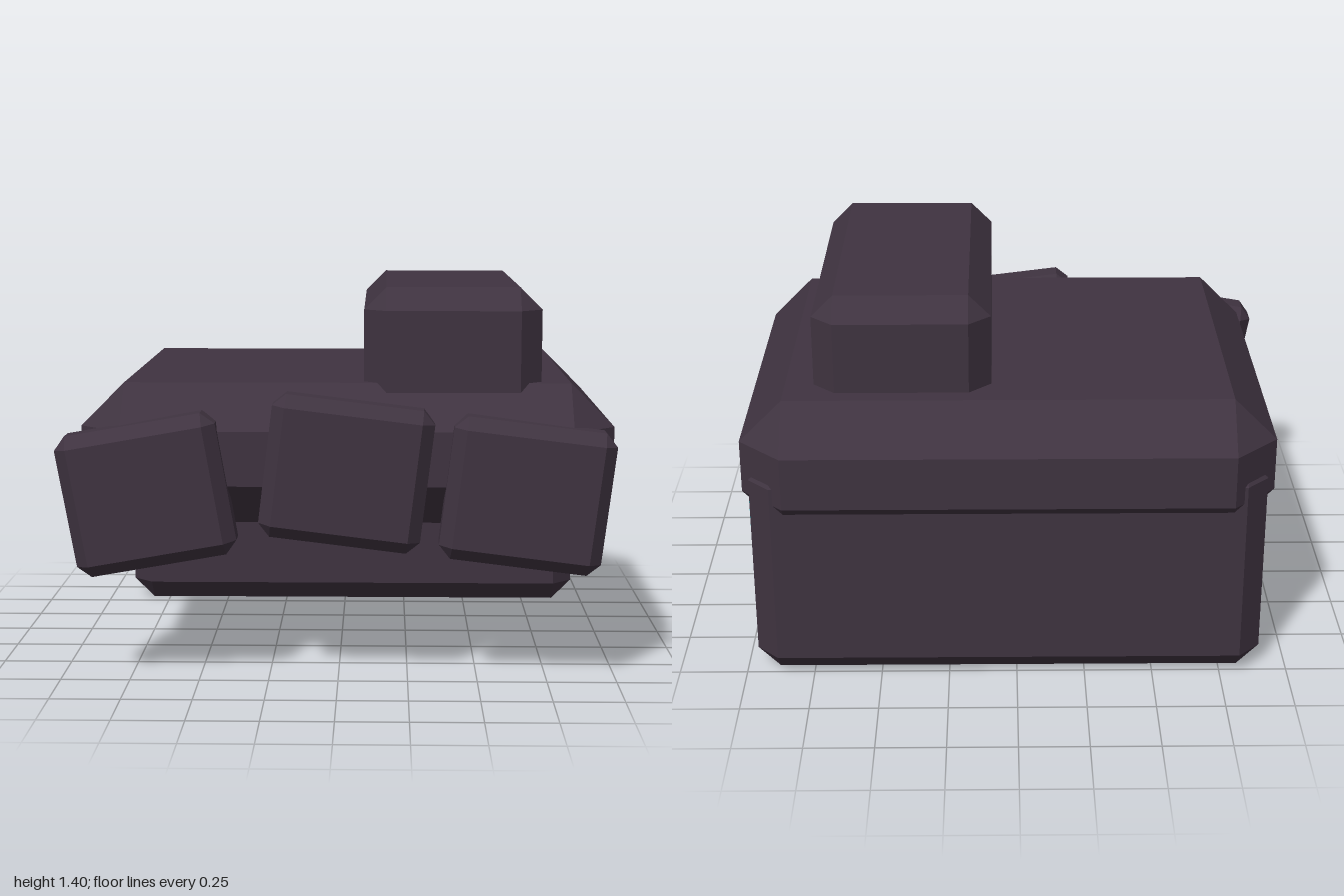
import * as THREE from 'three';
import { ConvexGeometry } from 'three/addons/geometries/ConvexGeometry.js';

const fabric = new THREE.MeshStandardMaterial({ color: 0x3f3340, flatShading: true });
const accent = new THREE.MeshStandardMaterial({ color: 0x39c2cb, flatShading: true });

// Box with every edge and corner cut by c
function chamferBox(w, h, d, c) {
  const points = [];
  for (const sx of [-1, 1]) for (const sy of [-1, 1]) for (const sz of [-1, 1]) {
    const x = w / 2, y = h / 2, z = d / 2;
    points.push(
      new THREE.Vector3(sx * x, sy * (y - c), sz * (z - c)),
      new THREE.Vector3(sx * (x - c), sy * y, sz * (z - c)),
      new THREE.Vector3(sx * (x - c), sy * (y - c), sz * z));
  }
  return new ConvexGeometry(points);
}

// Mesh spanning [min, max] on each axis; no chamfer gives a plain box
function block(name, [x0, x1], [y0, y1], [z0, z1], c, material = fabric) {
  const size = [x1 - x0, y1 - y0, z1 - z0];
  const geometry = c ? chamferBox(...size, c) : new THREE.BoxGeometry(...size);
  const mesh = new THREE.Mesh(geometry, material);
  mesh.name = name;
  mesh.position.set((x0 + x1) / 2, (y0 + y1) / 2, (z0 + z1) / 2);
  return mesh;
}

export function createModel() {
  const group = new THREE.Group();
  group.name = 'couch';

  // Main slab, upright panel beneath its rear, and the block on top
  group.add(block('seat', [-0.93, 0.99], [0.55, 1.06], [-0.82, 0.75], 0.157));
  group.add(block('rearPanel', [-0.9, 0.96], [0, 0.85], [-0.785, -0.5], 0.08));
  group.add(block('topBlock', [0.09, 0.73], [0.8, 1.4], [-0.595, 0.625], 0.08));

  // Tilted cushions along the front
  const cushions = [
    ['rightCushion', -0.68, 0.678, 10],
    ['middleCushion', 0.03, 0.757, -7],
    ['leftCushion', 0.67, 0.68, -7],
  ];
  const cushionGeometry = chamferBox(0.577, 0.513, 0.173, 0.045);
  for (const [name, x, y, degrees] of cushions) {
    const cushion = new THREE.Mesh(cushionGeometry, fabric);
    cushion.name = name;
    cushion.position.set(x, y, 0.733);
    cushion.rotation.z = THREE.MathUtils.degToRad(degrees);
    group.add(cushion);
  }

  // Coloured bar on the left side
  group.add(block('sideBar', [0.925, 0.998], [0.455, 0.58], [-0.45, 0.16], 0, accent));
  return group;
}
